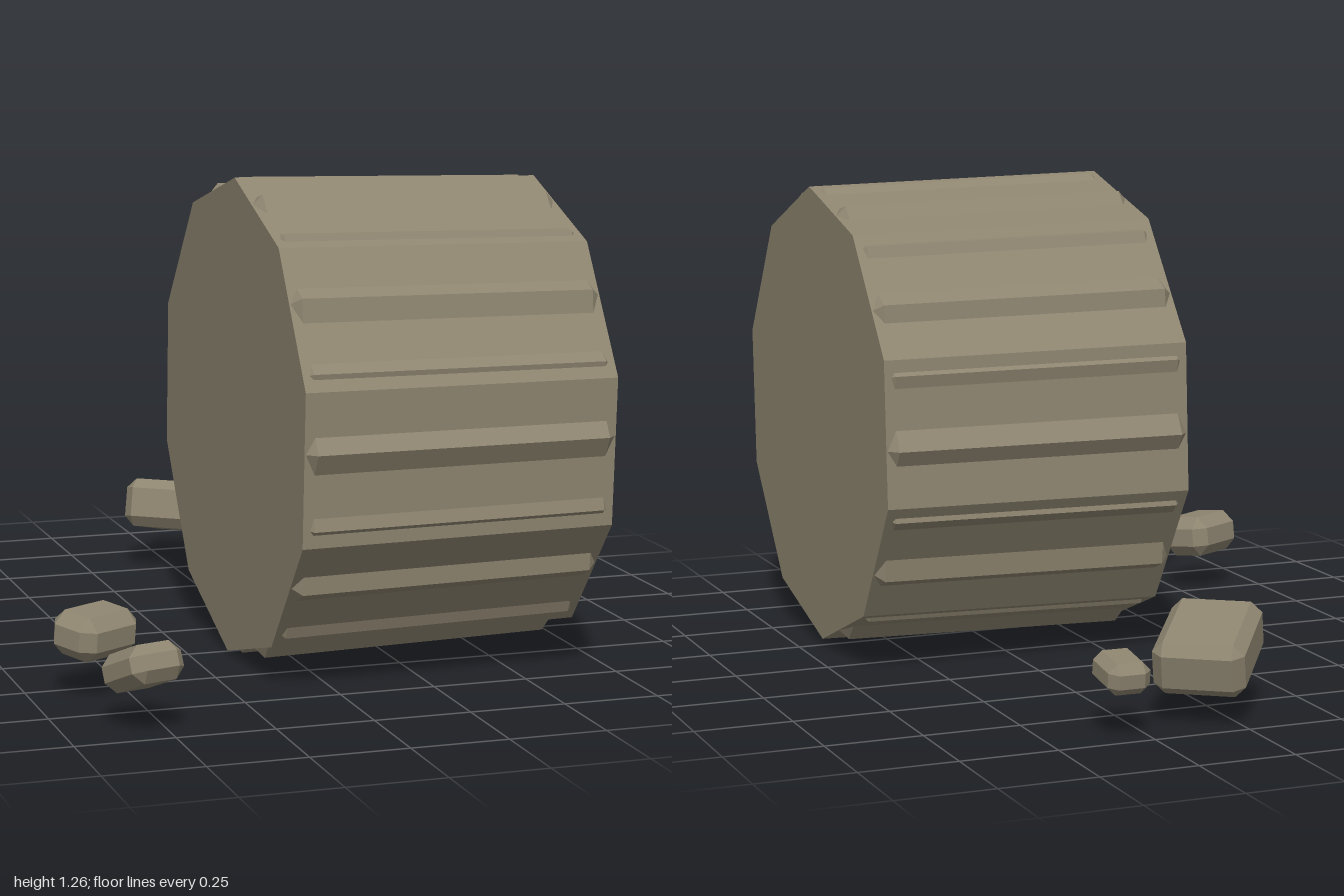
import * as THREE from 'three';
import { ConvexGeometry } from 'three/addons/geometries/ConvexGeometry.js';

const stone = new THREE.MeshStandardMaterial({ color: 0x8e8570, flatShading: true });
stone.name = 'weathered stone';

const X0 = -0.14, LENGTH = 0.825, RADIUS = 0.63;
const rad = THREE.MathUtils.degToRad;

// Narrow the drum and its ribs together towards +x
function taper(geometry) {
  const p = geometry.attributes.position;
  for (let i = 0; i < p.count; i++) {
    const k = 1 - 0.028 * (p.getX(i) - X0) / LENGTH;
    p.setXYZ(i, p.getX(i), p.getY(i) * k, p.getZ(i) * k);
  }
  geometry.computeVertexNormals();
  return geometry;
}

function addMesh(parent, geometry, name) {
  const mesh = new THREE.Mesh(geometry, stone);
  mesh.name = name;
  parent.add(mesh);
  return mesh;
}

// Box with every edge and corner cut off
function chamferedBox(w, h, d, c) {
  const points = [];
  for (const sx of [-1, 1]) for (const sy of [-1, 1]) for (const sz of [-1, 1]) {
    const x = w / 2, y = h / 2, z = d / 2;
    points.push(
      new THREE.Vector3(sx * x, sy * (y - c), sz * (z - c)),
      new THREE.Vector3(sx * (x - c), sy * y, sz * (z - c)),
      new THREE.Vector3(sx * (x - c), sy * (y - c), sz * z));
  }
  return new ConvexGeometry(points);
}

export function createModel() {
  const model = new THREE.Group();
  model.name = 'fallenColumnDrum';

  const drum = new THREE.Group();
  drum.name = 'drum';
  drum.position.set(0, 0.63, 0.278);
  model.add(drum);

  // Ten-sided core lying along x
  const core = new THREE.CylinderGeometry(RADIUS, RADIUS, LENGTH, 10, 1, false, rad(-15));
  core.rotateZ(-Math.PI / 2);
  core.translate(X0 + LENGTH / 2, 0, 0);
  addMesh(drum, taper(core), 'drumCore');

  // Twenty six-sided ribs with cut ends, half sunk into the core
  const r = 0.07, ribLength = LENGTH - 0.004, cut = 0.025;
  const profile = [
    [0, 0], [0.042, 0], [r, cut], [r, ribLength - cut], [0.042, ribLength], [0, ribLength],
  ].map(([x, y]) => new THREE.Vector2(x, y));
  for (let i = 0; i < 20; i++) {
    const rib = new THREE.LatheGeometry(profile, 6);
    rib.rotateZ(-Math.PI / 2);
    rib.translate(X0 + 0.002, 0, 0.557);
    rib.rotateX(rad(-1 + 18 * i));
    addMesh(drum, taper(rib), 'rib');
  }

  // Broken pieces: size, chamfer, position, tilt and turn
  const pieces = [
    ['largeBackFragment', [0.23, 0.14, 0.3], 0.028, [0.03, 0.17, -0.825], -0.24, -0.63],
    ['smallBackFragment', [0.11, 0.08, 0.14], 0.022, [0.305, 0.155, -0.92], -0.15, 0],
    ['leftFragment', [0.2, 0.115, 0.15], 0.032, [-0.58, 0.16, 0.55], 0.1, 0.54],
    ['frontFragment', [0.145, 0.095, 0.192], 0.028, [-0.555, 0.155, 0.905], -0.38, 0.28],
  ];
  for (const [name, size, chamfer, position, tilt, turn] of pieces) {
    const piece = addMesh(model, chamferedBox(...size, chamfer), name);
    piece.position.set(...position);
    piece.rotation.set(tilt, turn, 0, 'YXZ');
  }

  return model;
}
